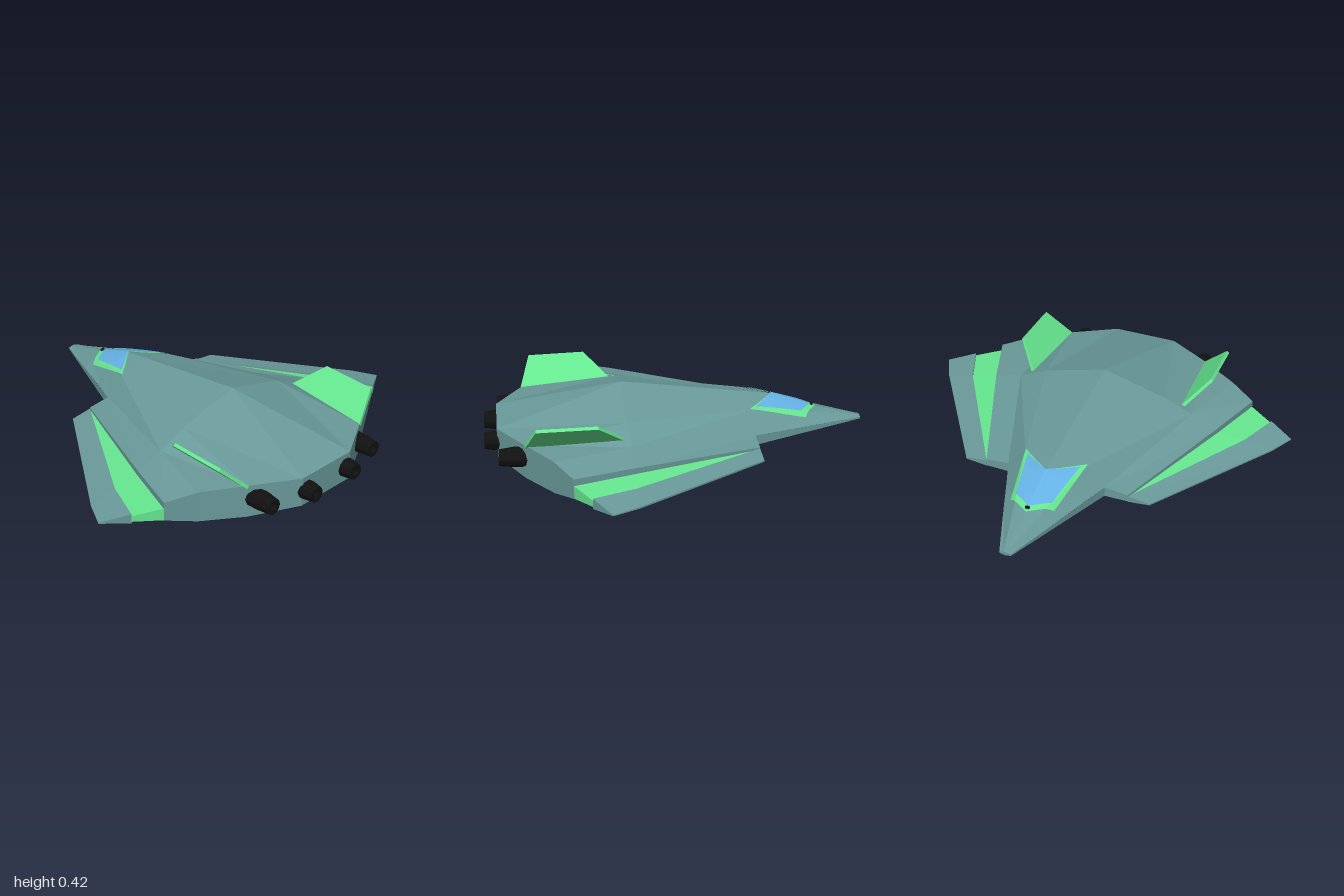
import * as THREE from 'three';

const material = (name, color, extra = {}) => {
  const m = new THREE.MeshStandardMaterial({ color, flatShading: true, ...extra });
  m.name = name;
  return m;
};

// Faces (polygons of [x, y, z]) become one mesh, each triangle turned away from the centre
function facets(name, faces, centre, mat) {
  const c = new THREE.Vector3(...centre), out = [];
  for (const f of faces) {
    for (let i = 1; i < f.length - 1; i++) {
      let t = [f[0], f[i], f[i + 1]].map((p) => new THREE.Vector3(...p));
      const n = t[1].clone().sub(t[0]).cross(t[2].clone().sub(t[0]));
      if (n.lengthSq() < 1e-14) continue;
      const mid = t[0].clone().add(t[1]).add(t[2]).divideScalar(3).sub(c);
      if (n.dot(mid) < 0) t = [t[0], t[2], t[1]];
      t.forEach((p) => out.push(p.x, p.y, p.z));
    }
  }
  const g = new THREE.BufferGeometry();
  g.setAttribute('position', new THREE.Float32BufferAttribute(out, 3));
  g.computeVertexNormals();
  const mesh = new THREE.Mesh(g, mat);
  mesh.name = name;
  return mesh;
}

const flip = (faces) => faces.map((f) => f.map(([x, y, z]) => [x, y, -z]));

// Convex solid through closed rings of points, with both ends capped
function solid(name, rings, mat) {
  const faces = [rings[0], rings[rings.length - 1]];
  for (let i = 0; i < rings.length - 1; i++) {
    rings[i].forEach((p, j) => {
      const k = (j + 1) % rings[i].length;
      faces.push([p, rings[i][k], rings[i + 1][k], rings[i + 1][j]]);
    });
  }
  const all = rings.flat();
  const c = [0, 1, 2].map((a) => all.reduce((s, p) => s + p[a], 0) / all.length);
  return facets(name, faces, c, mat);
}

// Upper hull stations: x, then [z, y] for spine, shoulder and side edge
const TOP = [
  [-0.985, [0, 0.182], [0.008, 0.182], [0.03, 0.176]],
  [-0.72, [0, 0.246], [0.073, 0.236], [0.132, 0.187]],
  [-0.5, [0, 0.325], [0.133, 0.28], [0.215, 0.195]],
  [-0.38, [0, 0.341], [0.165, 0.302], [0.262, 0.2]],
  [0.28, [0, 0.428], [0.338, 0.336], [0.49, 0.27]],
];
// Lower hull stations: keel and side edge
const LOW = [
  [-0.985, [0, 0.163], [0.03, 0.168]],
  [-0.38, [0, 0.046], [0.262, 0.148]],
  [0.28, [0, 0.004], [0.45, 0.09]],
];

// Height of the upper hull at a point
function hullTop(x, z) {
  let i = 0;
  while (i < TOP.length - 2 && x > TOP[i + 1][0]) i++;
  const t = (x - TOP[i][0]) / (TOP[i + 1][0] - TOP[i][0]);
  const row = [1, 2, 3].map((k) => [0, 1].map((a) => THREE.MathUtils.lerp(TOP[i][k][a], TOP[i + 1][k][a], t)));
  const [a, b] = Math.abs(z) < row[1][0] ? [row[0], row[1]] : [row[1], row[2]];
  return a[1] + ((b[1] - a[1]) * (Math.abs(z) - a[0])) / (b[0] - a[0]);
}

function hullFaces() {
  const faces = [];
  const pt = (s, k) => [s[0], s[k][1], s[k][0]];
  for (const rows of [TOP, LOW]) {
    for (let i = 0; i < rows.length - 1; i++) {
      for (let k = 1; k < rows[0].length - 1; k++) {
        faces.push([pt(rows[i], k), pt(rows[i], k + 1), pt(rows[i + 1], k + 1), pt(rows[i + 1], k)]);
      }
    }
  }
  // nose tip and thin side edge
  faces.push([pt(TOP[0], 1), pt(TOP[0], 2), pt(TOP[0], 3), pt(LOW[0], 2), pt(LOW[0], 1)]);
  faces.push([pt(TOP[0], 3), pt(TOP[3], 3), pt(LOW[1], 2), pt(LOW[0], 2)]);

  // wing roots
  const rootT = [[-0.38, 0.188, 0.385], [0.28, 0.225, 0.64], [0.572, 0.23, 0.738]];
  const rootB = [[-0.38, 0.15, 0.385], [0.28, 0.115, 0.64], [0.572, 0.13, 0.738]];
  faces.push([pt(TOP[3], 3), rootT[0], rootT[1], pt(TOP[4], 3)]);
  faces.push([pt(LOW[1], 2), rootB[0], rootB[1], pt(LOW[2], 2)]);
  faces.push([pt(TOP[3], 3), rootT[0], rootB[0], pt(LOW[1], 2)]);
  for (let i = 0; i < 2; i++) faces.push([rootT[i], rootT[i + 1], rootB[i + 1], rootB[i]]);

  // tail: upper, lower and stern faces
  const sternT = [[0.92, 0.27, 0], [0.92, 0.27, 0.17], [0.785, 0.27, 0.4], [0.655, 0.263, 0.6], rootT[2]];
  const sternB = [[0.92, 0.115, 0], [0.92, 0.115, 0.17], [0.785, 0.095, 0.4], [0.655, 0.1, 0.6], rootB[2]];
  const [spine, shoulder, side] = [1, 2, 3].map((k) => pt(TOP[4], k));
  const [keel, chine] = [1, 2].map((k) => pt(LOW[2], k));
  faces.push([spine, shoulder, sternT[1], sternT[0]], [shoulder, sternT[2], sternT[1]],
    [shoulder, side, sternT[2]], [side, sternT[3], sternT[2]], [side, rootT[1], sternT[4], sternT[3]]);
  faces.push([keel, chine, sternB[1], sternB[0]], [chine, sternB[2], sternB[1]],
    [chine, sternB[3], sternB[2]], [chine, rootB[1], sternB[4], sternB[3]]);
  for (let i = 0; i < 4; i++) faces.push([sternT[i], sternT[i + 1], sternB[i + 1], sternB[i]]);
  return faces;
}

// Thin sheet lying on the upper hull, spanned by four [x, z] corners, on both sides
function hullSheet(name, [a, b, c, d], lift, mat) {
  const N = 8, faces = [];
  const at = (u, v) => {
    const [x, z] = [0, 1].map((k) => (1 - v) * ((1 - u) * a[k] + u * b[k]) + v * ((1 - u) * d[k] + u * c[k]));
    return [x, hullTop(x, z) + lift, z];
  };
  for (let i = 0; i < N; i++) {
    for (let j = 0; j < N; j++) {
      faces.push([at(i / N, j / N), at((i + 1) / N, j / N), at((i + 1) / N, (j + 1) / N), at(i / N, (j + 1) / N)]);
    }
  }
  return facets(name, [...faces, ...flip(faces)], [-0.5, -5, 0], mat);
}

export function createModel() {
  const model = new THREE.Group();
  model.name = 'spaceship';
  const grey = material('hullTeal', 0x6a9a9a);
  const green = material('trimGreen', 0x66e890);
  const blue = material('windowBlue', 0x66b4e8);
  const black = material('engineBlack', 0x111111, { side: THREE.DoubleSide });

  const half = hullFaces();
  model.add(facets('hull', [...half, ...flip(half)], [0.1, 0.168, 0], grey));

  // canopy: green frame under a blue window
  model.add(hullSheet('canopyFrame', [[-0.745, 0], [-0.67, 0.115], [-0.365, 0.168], [-0.505, 0]], 0.005, green));
  model.add(hullSheet('canopyWindow', [[-0.715, 0], [-0.65, 0.096], [-0.4, 0.142], [-0.508, 0]], 0.009, blue));
  const post = new THREE.Mesh(new THREE.BoxGeometry(0.01, 0.025, 0.02), black);
  post.name = 'canopyPost';
  post.position.set(-0.724, 0.248, 0);
  model.add(post);

  for (const s of [1, -1]) {
    const tag = s > 0 ? 'left' : 'right';
    const ring = (inner, outer, yi, yo) => [
      [inner[0], yi[0], s * inner[1]], [outer[0], yo[0], s * outer[1]],
      [outer[0], yo[1], s * outer[1]], [inner[0], yi[1], s * inner[1]],
    ];

    // wing: recessed green strip and outer blade
    model.add(solid(tag + 'WingStrip', [
      ring([-0.375, 0.37], [-0.375, 0.39], [0.178, 0.152], [0.176, 0.152]),
      ring([0.28, 0.63], [0.28, 0.79], [0.196, 0.13], [0.176, 0.145]),
      ring([0.571, 0.735], [0.49, 0.868], [0.196, 0.13], [0.176, 0.145]),
    ], green));
    model.add(solid(tag + 'WingBlade', [
      ring([-0.38, 0.385], [-0.38, 0.5], [0.182, 0.148], [0.168, 0.16]),
      ring([0.28, 0.785], [0.28, 0.935], [0.188, 0.136], [0.165, 0.157]),
      ring([0.492, 0.868], [0.41, 1.0], [0.188, 0.136], [0.163, 0.158]),
    ], grey));

    // canted tail fin
    const fin = [[0.28, 0.268, 0.408], [0.437, 0.402, 0.544], [0.735, 0.397, 0.539], [0.787, 0.262, 0.402]];
    model.add(solid(tag + 'TailFin', [-1, 1].map((o) =>
      fin.map(([x, y, z]) => [x, y + o * 0.006, s * (z - o * 0.006)])), green));

    // engine nozzles: outer pair further forward with a light core
    for (const [z, x0, x1, where] of [[0.14, 0.88, 0.985, 'Inner'], [0.36, 0.77, 0.915, 'Outer']]) {
      const len = x1 - x0;
      const profile = [[0.052, 0], [0.05, len * 0.5], [0.041, len], [0.022, len], [0.02, len * 0.6]];
      if (where === 'Inner') profile.push([0, len * 0.6]);
      const nozzle = new THREE.Mesh(
        new THREE.LatheGeometry(profile.map((p) => new THREE.Vector2(...p)), 10), black);
      nozzle.name = tag + where + 'Engine';
      nozzle.rotation.z = -Math.PI / 2;
      nozzle.position.set(x0, 0.195, s * z);
      model.add(nozzle);
      if (where === 'Outer') {
        const core = new THREE.Mesh(new THREE.CylinderGeometry(0.021, 0.021, len * 0.6, 10), grey);
        core.name = tag + 'EngineCore';
        core.rotation.z = -Math.PI / 2;
        core.position.set(x0 + len * 0.32, 0.195, s * z);
        model.add(core);
      }
    }
  }
  return model;
}
